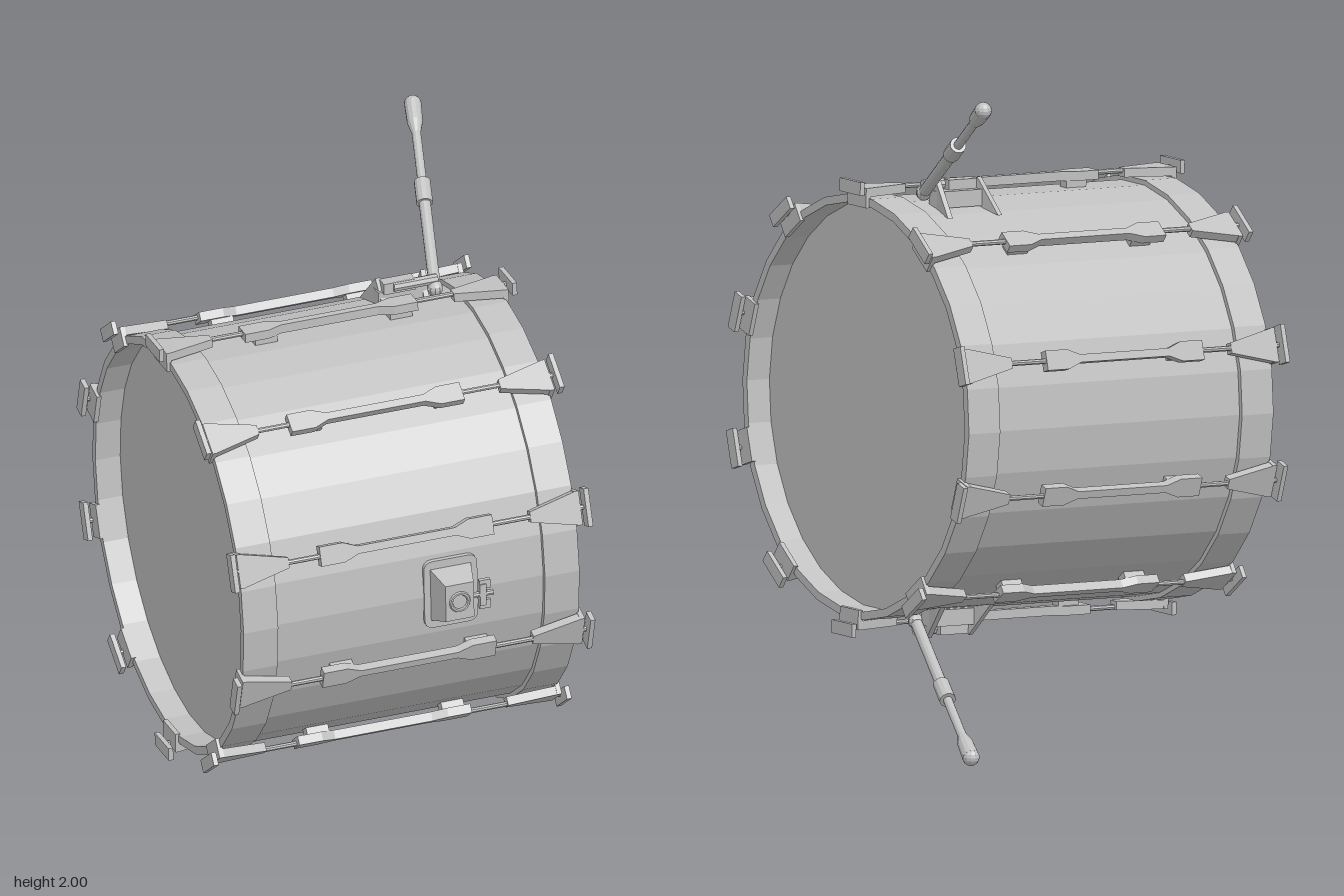
import * as THREE from 'three';

const grey = new THREE.MeshStandardMaterial({ color: 0xc0c0c0, flatShading: true });
grey.name = 'grey';
const SIDES = 30;

function add(parent, name, geometry, x = 0, y = 0, z = 0) {
  const mesh = new THREE.Mesh(geometry, grey);
  mesh.name = name;
  mesh.position.set(x, y, z);
  parent.add(mesh);
  return mesh;
}

// Box given by its limits on each axis
function block(parent, name, [x0, x1], [y0, y1], [z0, z1]) {
  return add(parent, name, new THREE.BoxGeometry(x1 - x0, y1 - y0, z1 - z0),
    (x0 + x1) / 2, (y0 + y1) / 2, (z0 + z1) / 2);
}

// Flat plate: [x, halfWidth] stations mirrored in z, between heights y0 and y1
function plate(parent, name, stations, y0, y1) {
  const outline = [...stations, ...stations.slice().reverse().map(([x, w]) => [x, -w])];
  const shape = new THREE.Shape(outline.map(([x, w]) => new THREE.Vector2(x, w)));
  const g = new THREE.ExtrudeGeometry(shape, { depth: y1 - y0, bevelEnabled: false });
  g.rotateX(Math.PI / 2);
  return add(parent, name, g, 0, y1, 0);
}

// Cylinder lying along x
function bar(parent, name, r, x0, x1, y, z, sides = 8) {
  const g = new THREE.CylinderGeometry(r, r, x1 - x0, sides).rotateZ(-Math.PI / 2);
  return add(parent, name, g, (x0 + x1) / 2, y, z);
}

// Ring around x from a rectangular section
function ring(parent, name, rIn, rOut, x0, x1) {
  const pts = [[rIn, x0], [rOut, x0], [rOut, x1], [rIn, x1], [rIn, x0]];
  const g = new THREE.LatheGeometry(pts.map(p => new THREE.Vector2(...p)), SIDES);
  return add(parent, name, g.rotateZ(-Math.PI / 2));
}

// One tension set, lying over the top of the shell
function tensionSet() {
  const set = new THREE.Group();
  set.name = 'tensionSet';
  plate(set, 'lug', [[-0.275, 0.03], [-0.2, 0.03], [-0.155, 0.012],
    [0.155, 0.012], [0.2, 0.03], [0.275, 0.03]].map(([x, w]) => [x - 0.01, w]), 0.64, 0.668);
  for (const s of [-1, 1]) {
    const end = new THREE.Group();
    end.name = 'tensionEnd';
    if (s < 0) end.rotation.y = Math.PI;
    set.add(end);
    block(end, 'lugFoot', [0.18, 0.25], [0.6, 0.645], [-0.018, 0.018]);
    bar(end, 'tensionRod', 0.008, 0.24, 0.57, 0.657, 0);
    plate(end, 'claw', [[0.385, 0.016], [0.535, 0.052]], 0.638, 0.665);
    block(end, 'clawHook', [0.53, 0.545], [0.605, 0.665], [-0.052, 0.052]);
    block(end, 'rodHandle', [0.555, 0.57], [0.645, 0.685], [-0.058, 0.058]);
  }
  return set;
}

// Spur leg with its bracket, on the upper side
function spur() {
  const g = new THREE.Group();
  g.name = 'spur';
  block(g, 'spurBase', [0.185, 0.35], [0.605, 0.655], [-0.15, -0.095]);
  block(g, 'spurClamp', [0.2, 0.3], [0.65, 0.685], [-0.125, -0.085]);
  bar(g, 'spurBolt', 0.016, 0.23, 0.37, 0.67, -0.09);

  // Triangular side fins
  const tri = new THREE.Shape([[0.08, 0.61], [0.225, 0.585], [0.125, 0.69]]
    .map(p => new THREE.Vector2(...p)));
  for (const [x, turn] of [[0.195, -0.15], [0.34, 0.15]]) {
    const fin = new THREE.ExtrudeGeometry(tri, { depth: 0.016, bevelEnabled: false });
    fin.translate(-0.125, 0, -0.008).rotateY(Math.PI / 2);
    add(g, 'spurFin', fin, x, 0, -0.125).rotation.y = -turn;
  }

  // Leg sections placed along the line from pivot to foot
  const a = new THREE.Vector3(0.36, 0.645, -0.08);
  const b = new THREE.Vector3(0.507, 0.973, -0.637);
  const dir = b.clone().sub(a).normalize();
  const turn = new THREE.Quaternion().setFromUnitVectors(new THREE.Vector3(0, 1, 0), dir);
  const section = (name, t0, t1, r0, r1) => {
    const p = a.clone().lerp(b, (t0 + t1) / 2);
    const cyl = new THREE.CylinderGeometry(r1, r0, a.distanceTo(b) * (t1 - t0), 12);
    add(g, name, cyl, p.x, p.y, p.z).quaternion.copy(turn);
  };
  section('legTube', -0.02, 0.5, 0.018, 0.018);
  section('legSleeve', 0.46, 0.58, 0.025, 0.025);
  section('legRod', 0.56, 0.9, 0.014, 0.014);
  section('footTaper', 0.84, 0.9, 0.014, 0.024);
  section('footGrip', 0.9, 1, 0.024, 0.026);
  add(g, 'footTip', new THREE.SphereGeometry(0.026, 12, 8), b.x, b.y, b.z);
  add(g, 'legPivot', new THREE.SphereGeometry(0.024, 10, 8), a.x, a.y, a.z);
  return g;
}

// Holder on the front of the shell
function holder() {
  const g = new THREE.Group();
  g.name = 'holder';
  const w = 0.085, h = 0.11, r = 0.03;
  const s = new THREE.Shape();
  s.moveTo(-w + r, -h);
  s.lineTo(w - r, -h); s.quadraticCurveTo(w, -h, w, -h + r);
  s.lineTo(w, h - r); s.quadraticCurveTo(w, h, w - r, h);
  s.lineTo(-w + r, h); s.quadraticCurveTo(-w, h, -w, h - r);
  s.lineTo(-w, -h + r); s.quadraticCurveTo(-w, -h, -w + r, -h);
  add(g, 'holderPlate', new THREE.ExtrudeGeometry(s,
    { depth: 0.022, bevelEnabled: false, curveSegments: 4 }), 0, 0, 0.603);
  // Four-sided tapering body
  const body = new THREE.CylinderGeometry(0.045, 0.066, 0.08, 4, 1, false, Math.PI / 4);
  body.scale(Math.SQRT2, 1, Math.SQRT2 * 1.3).rotateX(Math.PI / 2);
  add(g, 'holderBody', body, 0, 0, 0.66);
  add(g, 'holderSocket', new THREE.TorusGeometry(0.028, 0.006, 6, 16), 0, 0, 0.7);
  bar(g, 'wingScrew', 0.009, 0.04, 0.115, 0, 0.675);
  for (const y of [-0.033, 0.033]) {
    block(g, 'screwWing', [0.07, 0.105], [y - 0.014, y + 0.014], [0.668, 0.682]);
  }
  block(g, 'screwHub', [0.07, 0.09], [-0.035, 0.035], [0.664, 0.686]);
  g.position.set(0.13, 0.005, 0);
  return g;
}

export function createModel() {
  const model = new THREE.Group();
  model.name = 'bassDrum';

  // Drum body, tilted slightly
  const drum = new THREE.Group();
  drum.name = 'drum';
  drum.position.set(-0.005, 0.989, -0.02);
  drum.rotation.z = 0.022;
  model.add(drum);

  add(drum, 'shell', new THREE.CylinderGeometry(0.622, 0.622, 0.9, SIDES).rotateZ(-Math.PI / 2));
  for (const s of [-1, 1]) {
    const [x0, x1] = s > 0 ? [0.425, 0.535] : [-0.535, -0.425];
    ring(drum, 'hoop', 0.612, 0.637, x0, x1);
    bar(drum, 'head', 0.614, s * 0.45 - 0.006, s * 0.45 + 0.006, 0, 0, SIDES);
  }

  // Ten tension sets around the shell
  for (let i = 0; i < 10; i++) {
    const set = tensionSet();
    set.rotation.x = i * Math.PI / 5;
    drum.add(set);
  }

  // Upper spur and its mirror below
  const upper = spur();
  const lower = spur();
  lower.scale.y = -1;
  drum.add(upper, lower, holder());
  return model;
}
